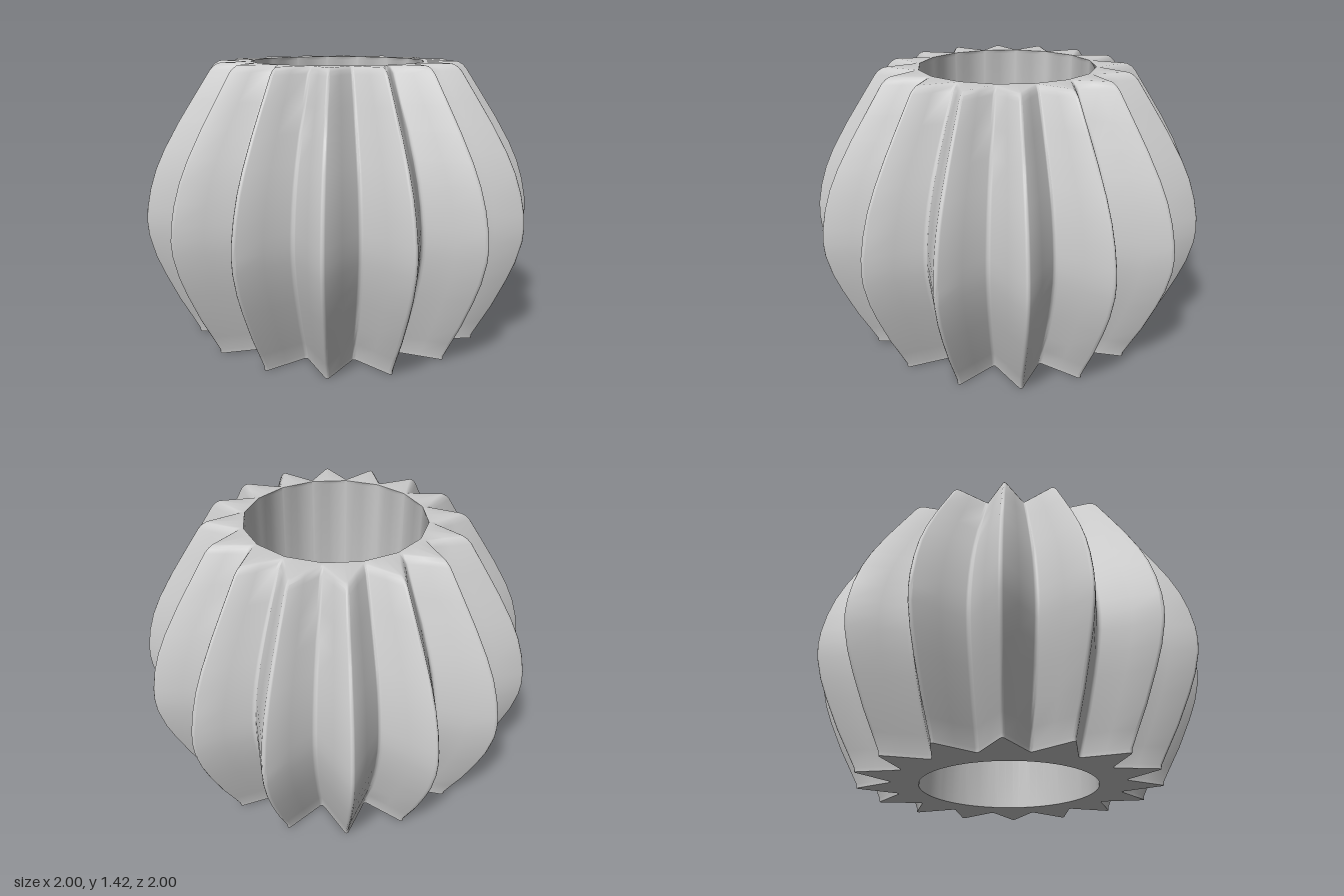
import * as THREE from 'three';
import { toCreasedNormals } from 'three/addons/utils/BufferGeometryUtils.js';

const TEETH = 16;
const STEP = (Math.PI * 2) / TEETH;
const HOLE = 0.457;

// One tooth of the star outline as [radial, tangential], with softened tip and valley
function toothOutline() {
  const tip = [[1.012, -0.012], [1.019, -0.005], [1.019, 0.005], [1.012, 0.012]];
  const a = STEP / 2;
  const valley = [[0.787, -0.014], [0.78, -0.006], [0.78, 0.006], [0.787, 0.014]]
    .map(([u, w]) => [u * Math.cos(a) - w * Math.sin(a), u * Math.sin(a) + w * Math.cos(a)]);
  const mid = (p, q) => [(p[0] + q[0]) / 2, (p[1] + q[1]) / 2];
  const nextTip = [tip[0][0] * Math.cos(STEP) - tip[0][1] * Math.sin(STEP),
    tip[0][0] * Math.sin(STEP) + tip[0][1] * Math.cos(STEP)];
  return [...tip, mid(tip[3], valley[0]), ...valley, mid(valley[3], nextTip)];
}

// Whole outline in polar form
function starOutline() {
  const points = [];
  const tooth = toothOutline();
  for (let k = 0; k < TEETH; k++) {
    for (const [u, w] of tooth) {
      points.push({ angle: Math.atan2(w, u) + (k + 0.5) * STEP, radius: Math.hypot(u, w) });
    }
  }
  return points;
}

// Radius of the sixteen-sided upper rim, corners in line with the valleys
function rimRadius(angle) {
  const local = angle - (Math.floor(angle / STEP) + 0.5) * STEP;
  return HOLE * Math.cos(STEP / 2) / Math.cos(local);
}

function createBodyGeometry() {
  const outline = starOutline();
  // Bulging outer profile: [height, scale of the star]
  const outer = [[0, 0.765], [0.02, 0.768], [0.1, 0.81], [0.2, 0.863], [0.35, 0.93],
    [0.45, 0.968], [0.56, 0.995], [0.63, 1], [0.7, 0.995], [0.8, 0.975], [0.9, 0.943],
    [1.0, 0.897], [1.13, 0.823], [1.25, 0.747], [1.385, 0.66], [1.405, 0.64], [1.417, 0.62]];
  const rows = outer.map(([y, s]) => ({ y, r: (p) => p.radius * s }));
  rows.push({ y: 1.42, r: (p) => p.radius * 0.605 });
  // Polygonal rim, then the round bore back down to the base
  rows.push({ y: 1.42, r: (p) => rimRadius(p.angle) });
  rows.push({ y: 1.4, r: () => HOLE });
  rows.push({ y: 0, r: () => HOLE });

  const positions = [];
  for (const row of rows) {
    for (const p of outline) {
      const r = row.r(p);
      positions.push(r * Math.sin(p.angle), row.y, r * Math.cos(p.angle));
    }
  }
  // Join each row to the next, the last one closing the base
  const n = outline.length;
  const index = [];
  for (let i = 0; i < rows.length; i++) {
    const i2 = (i + 1) % rows.length;
    for (let j = 0; j < n; j++) {
      const j2 = (j + 1) % n;
      const a = i * n + j, b = i * n + j2, c = i2 * n + j2, d = i2 * n + j;
      index.push(a, b, c, a, c, d);
    }
  }
  const geometry = new THREE.BufferGeometry();
  geometry.setAttribute('position', new THREE.Float32BufferAttribute(positions, 3));
  geometry.setIndex(index);
  return toCreasedNormals(geometry, 0.9);
}

export function createModel() {
  const group = new THREE.Group();
  group.name = 'ribbedPlanter';
  const body = new THREE.Mesh(createBodyGeometry(),
    new THREE.MeshStandardMaterial({ color: 0xcccccc }));
  body.name = 'ribbedBody';
  group.add(body);
  return group;
}
